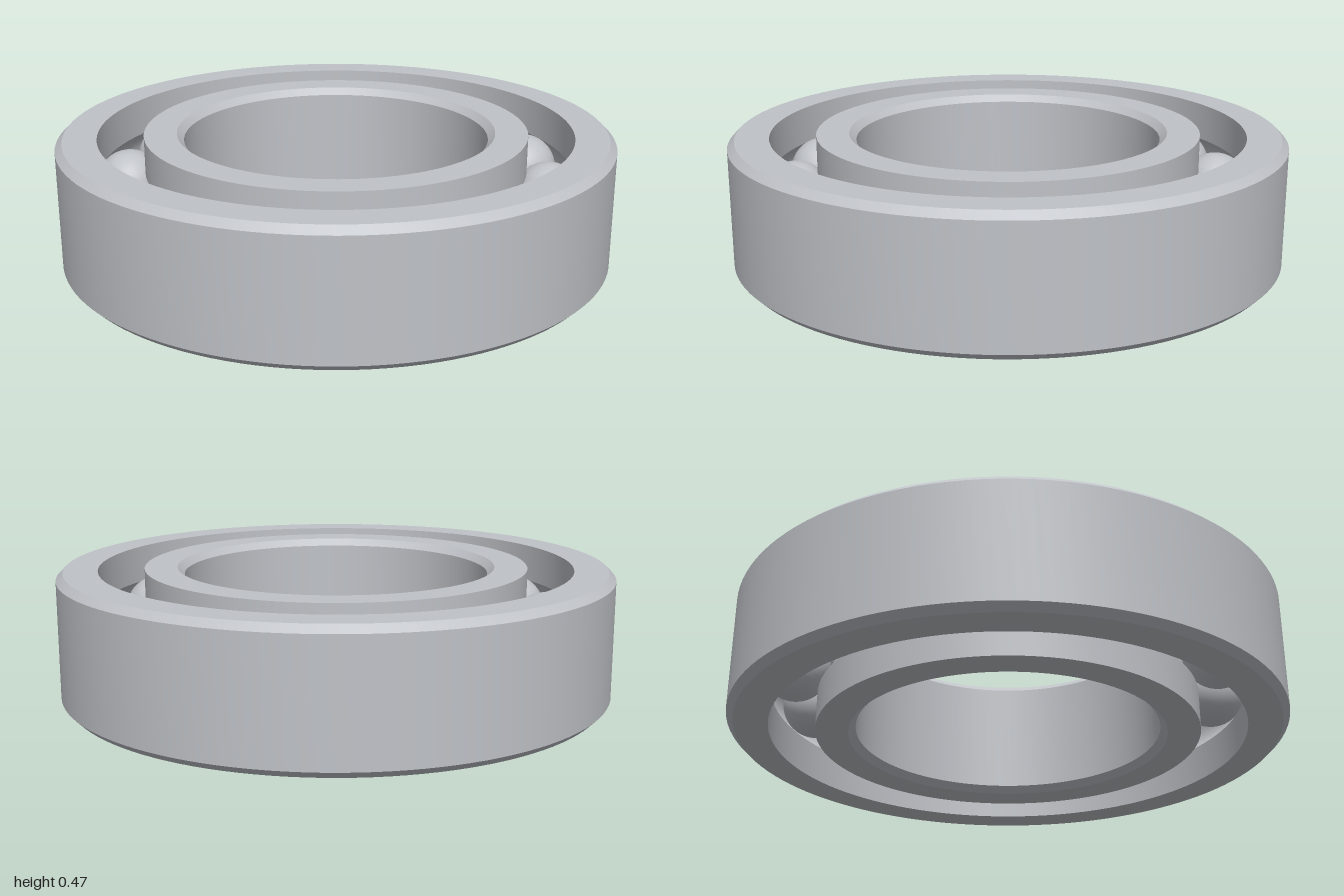
import * as THREE from 'three';
import { toCreasedNormals } from 'three/addons/utils/BufferGeometryUtils.js';

const HEIGHT = 0.47, MID = HEIGHT / 2;
const BEVEL = 0.025;
const PITCH = 0.772;          // radius of the circle of ball centres
const BALL_RADIUS = 0.125, GROOVE_RADIUS = 0.127, BALL_COUNT = 14;
const BORE = 0.548, INNER_SHOULDER = 0.69, OUTER_SHOULDER = 0.854, RIM = 1;

export function createModel() {
  const model = new THREE.Group();
  model.name = 'ballBearing';
  const steel = new THREE.MeshStandardMaterial({ color: 0xbfc2c7 });
  steel.name = 'steel';

  // Arc of the ball groove, bottom to top; side is +1 for the outer ring, -1 for the inner
  const groove = (side, shoulder) => {
    const half = Math.acos(Math.abs(shoulder - PITCH) / GROOVE_RADIUS);
    return Array.from({ length: 15 }, (_, i) => {
      const t = -half + (2 * half * i) / 14;
      return [PITCH + side * GROOVE_RADIUS * Math.cos(t), MID + GROOVE_RADIUS * Math.sin(t)];
    });
  };

  // Closed ring turned from a counter-clockwise section
  const addRing = (name, section) => {
    const points = [...section, section[0]].map(([r, y]) => new THREE.Vector2(r, y));
    const ring = new THREE.Mesh(toCreasedNormals(new THREE.LatheGeometry(points, 120), 0.5), steel);
    ring.name = name;
    model.add(ring);
  };

  // Outer ring: bevelled rim, groove on the inside wall
  addRing('outerRing', [
    [OUTER_SHOULDER, 0], [RIM - BEVEL, 0], [RIM, BEVEL],
    [RIM, HEIGHT - BEVEL], [RIM - BEVEL, HEIGHT], [OUTER_SHOULDER, HEIGHT],
    ...groove(1, OUTER_SHOULDER).reverse(),
  ]);

  // Inner ring: bevelled bore, groove on the outside wall
  addRing('innerRing', [
    [BORE, BEVEL], [BORE + BEVEL, 0], [INNER_SHOULDER, 0],
    ...groove(-1, INNER_SHOULDER),
    [INNER_SHOULDER, HEIGHT], [BORE + BEVEL, HEIGHT], [BORE, HEIGHT - BEVEL],
  ]);

  // Balls spaced evenly around the race
  const balls = new THREE.Group();
  balls.name = 'balls';
  const ballGeometry = new THREE.SphereGeometry(BALL_RADIUS, 40, 24);
  for (let i = 0; i < BALL_COUNT; i++) {
    const angle = (i / BALL_COUNT) * Math.PI * 2;
    const ball = new THREE.Mesh(ballGeometry, steel);
    ball.name = `ball${i + 1}`;
    ball.position.set(PITCH * Math.cos(angle), MID, PITCH * Math.sin(angle));
    balls.add(ball);
  }
  model.add(balls);

  return model;
}
